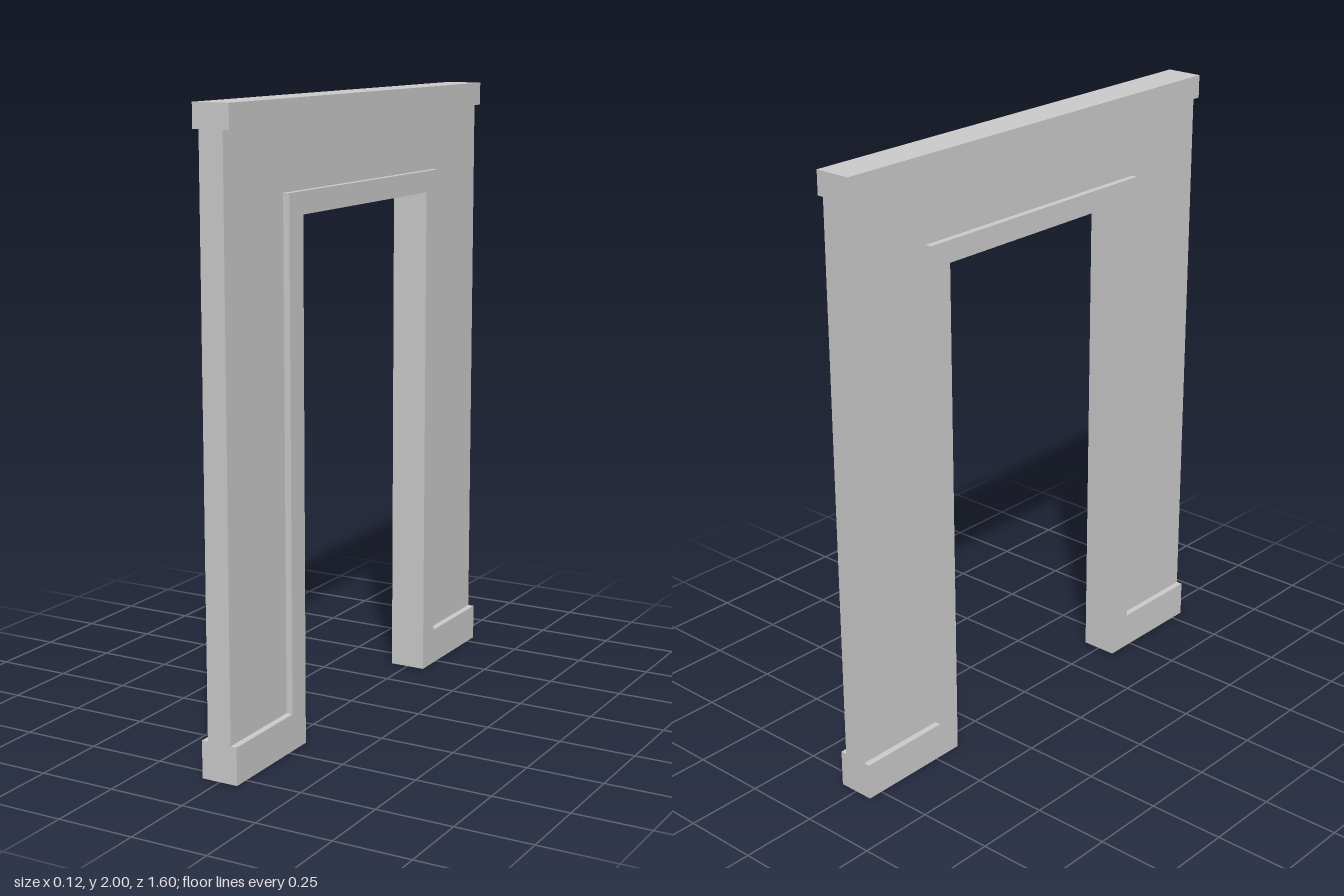
import * as THREE from 'three';

const HALF = 0.8;        // half the width of the wall along z
const OPENING = 0.4;     // half the width of the doorway
const TRIM = 0.48;       // outer edge of the door trim
const FOOT = 0.12;       // height of the skirting
const LINTEL = 1.655, TRIM_TOP = 1.725, CORNICE = 1.925, TOP = 2;
const WALL_T = 0.08, TRIM_T = 0.122;

const material = new THREE.MeshStandardMaterial({ color: 0xcccccc });

// Mirrors half an outline across the middle and extrudes it along x
function archPart(name, half, thickness) {
  const mirrored = half.map(([z, y]) => [-z, y]).reverse();
  const shape = new THREE.Shape([...half, ...mirrored].map(([z, y]) => new THREE.Vector2(z, y)));
  const geometry = new THREE.ExtrudeGeometry(shape, { depth: thickness, bevelEnabled: false });
  geometry.translate(0, 0, -thickness / 2).rotateY(Math.PI / 2);
  const mesh = new THREE.Mesh(geometry, material);
  mesh.name = name;
  return mesh;
}

export function createModel() {
  const group = new THREE.Group();
  group.name = 'doorwayWall';

  // Recessed wall around the doorway
  group.add(archPart('wallPanel', [
    [TRIM, TRIM_TOP], [TRIM, FOOT], [HALF, FOOT], [HALF, CORNICE],
  ], WALL_T));

  // Raised door trim running out into the skirting at each foot
  group.add(archPart('doorTrimAndSkirting', [
    [OPENING, LINTEL], [OPENING, 0], [HALF, 0], [HALF, FOOT], [TRIM, FOOT], [TRIM, TRIM_TOP],
  ], TRIM_T));

  // Raised band along the top
  const cornice = new THREE.Mesh(new THREE.BoxGeometry(TRIM_T, TOP - CORNICE, HALF * 2), material);
  cornice.position.y = (TOP + CORNICE) / 2;
  cornice.name = 'cornice';
  group.add(cornice);

  return group;
}
